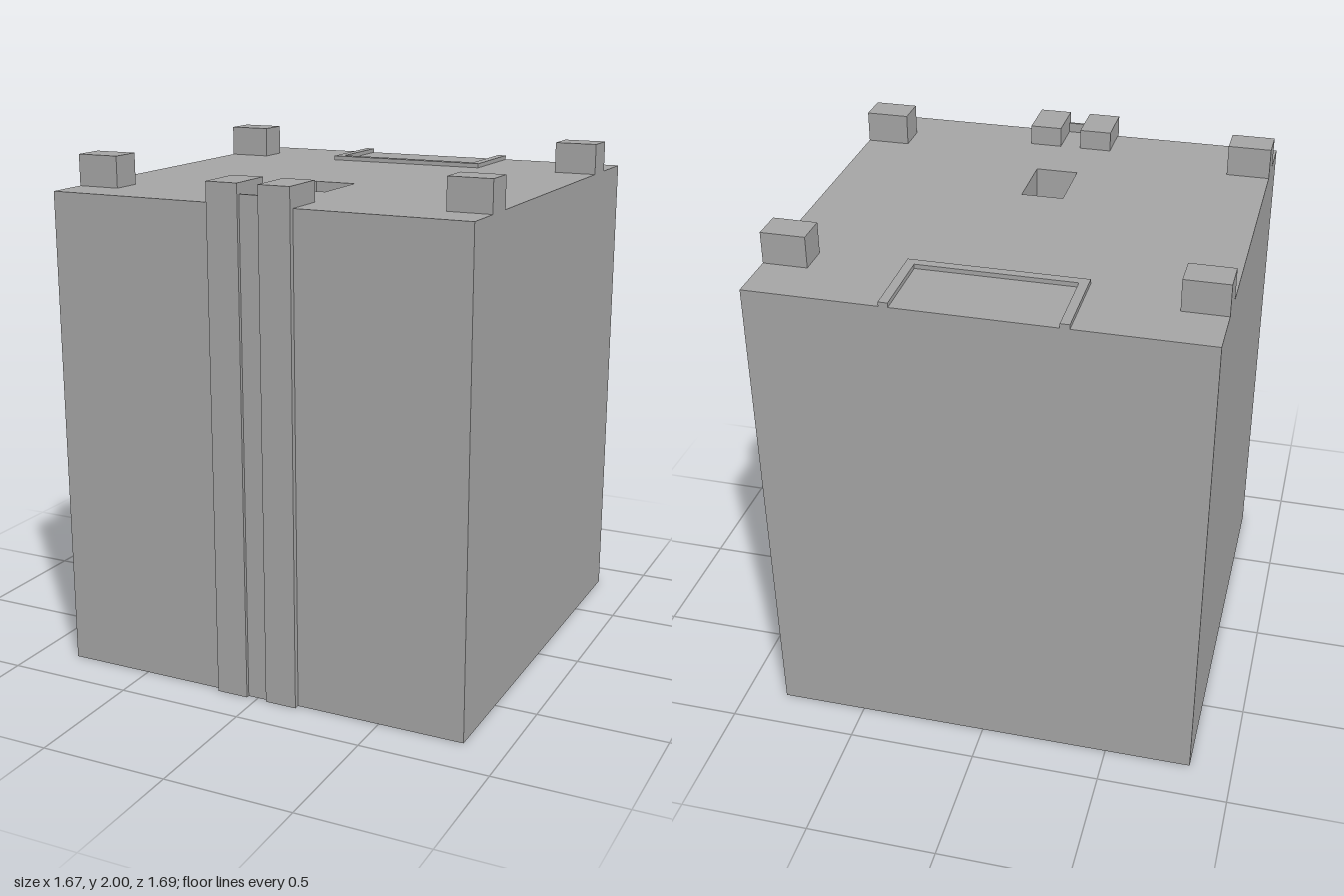
import * as THREE from 'three';

const material = new THREE.MeshStandardMaterial({ color: 0xa4a4a4 });

// Extrude an outline given in (x, z) upward from y0 to y1
function prism(name, points, y0, y1, hole) {
  const toPath = (pts) => pts.map(([x, z]) => new THREE.Vector2(x, -z));
  const shape = new THREE.Shape(toPath(points));
  if (hole) shape.holes.push(new THREE.Path(toPath(hole)));
  const geometry = new THREE.ExtrudeGeometry(shape, { depth: y1 - y0, bevelEnabled: false });
  geometry.rotateX(-Math.PI / 2).translate(0, y0, 0);
  const mesh = new THREE.Mesh(geometry, material);
  mesh.name = name;
  return mesh;
}

const rect = (x0, x1, z0, z1) => [[x0, z1], [x1, z1], [x1, z0], [x0, z0]];

export function createModel() {
  const group = new THREE.Group();
  group.name = 'block';
  const top = 1.88, halfWidth = 0.835, back = -0.846, front = 0.824;

  // Main block with a rectangular shaft running through it
  group.add(prism('body', rect(-halfWidth, halfWidth, back, front), 0, top,
    rect(-0.082, 0.082, 0.154, 0.407)));

  for (const side of [-1, 1]) {
    const label = side > 0 ? 'left' : 'right';
    const span = (a, b) => (side > 0 ? [a, b] : [-b, -a]);

    // Corner posts on the top
    group.add(prism(label + 'FrontPost', rect(...span(0.667, halfWidth), 0.532, 0.656), top, 2));
    group.add(prism(label + 'BackPost', rect(...span(0.667, halfWidth), -0.636, -0.511), top, 2));

    // Front rail: full-height strip whose top hooks back over the block
    const [x0, x1] = span(0.041, 0.167);
    const profile = new THREE.Shape([
      [front, 0], [0.846, 0], [0.846, 1.958], [0.657, 1.958], [0.657, top], [front, top],
    ].map(([z, y]) => new THREE.Vector2(-z, y)));
    const geometry = new THREE.ExtrudeGeometry(profile, { depth: x1 - x0, bevelEnabled: false });
    geometry.rotateY(Math.PI / 2).translate(x0, 0, 0);
    const rail = new THREE.Mesh(geometry, material);
    rail.name = label + 'Rail';
    group.add(rail);
  }

  // Thin plate between the rails
  group.add(prism('railBackplate', rect(-0.041, 0.041, front - 0.002, 0.832), 0, 1.918));

  // Low three-sided rim, open at the back edge
  group.add(prism('topRim', [
    [-0.333, back], [-0.333, -0.513], [0.333, -0.513], [0.333, back],
    [0.298, back], [0.298, -0.549], [-0.298, -0.549], [-0.298, back],
  ], top, 1.897));

  return group;
}
